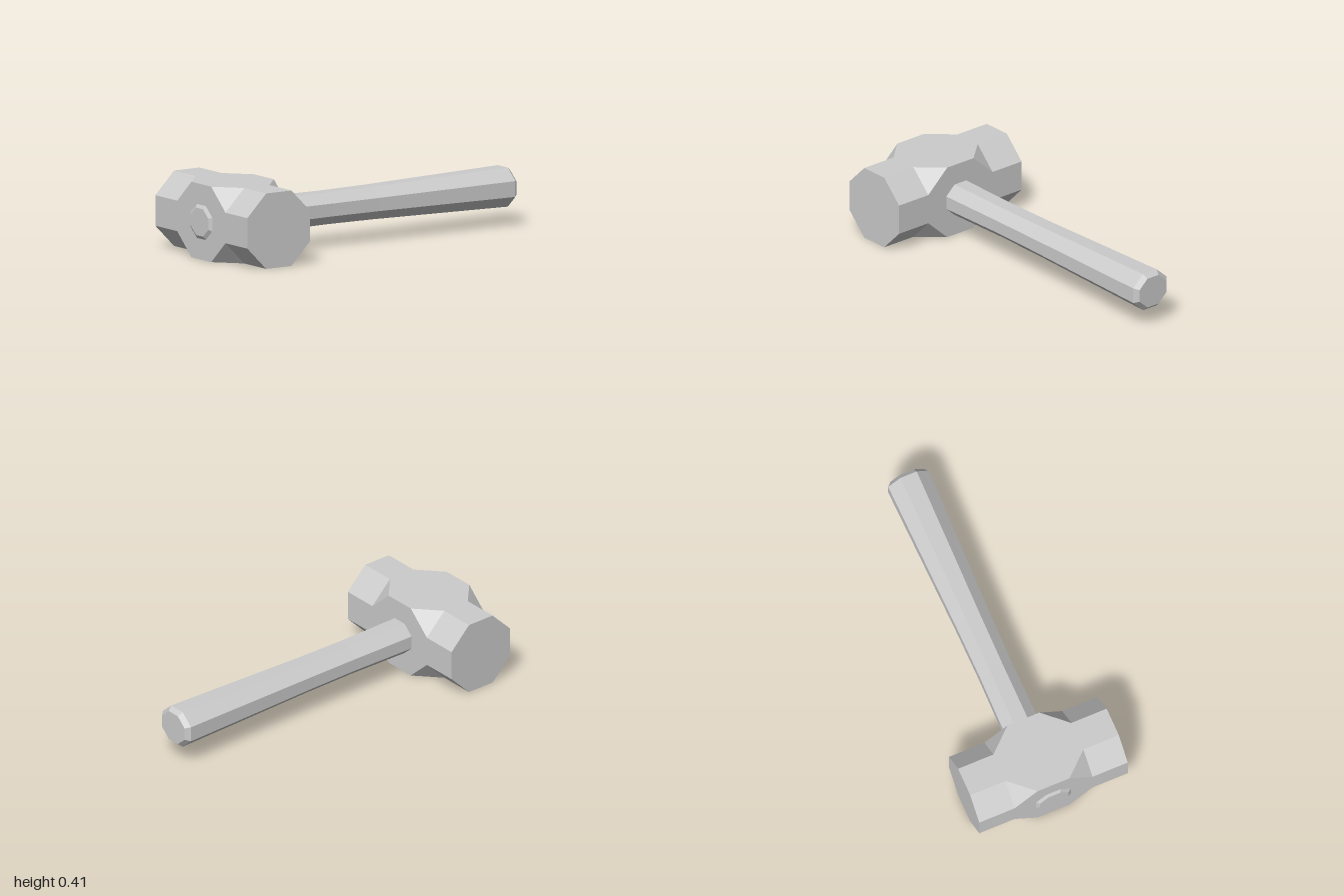
import * as THREE from 'three';

const material = new THREE.MeshStandardMaterial({ color: 0xcccccc, flatShading: true });

// Counter-clockwise rectangle with its corners cut off by cu and cv
function octagon(u, v, cu, cv) {
  return [
    [u, cv - v], [u, v - cv], [u - cu, v], [cu - u, v],
    [-u, v - cv], [-u, cv - v], [cu - u, -v], [u - cu, -v],
  ];
}

// Skin a list of rings (arrays of Vector3) and close both ends
function loft(rings) {
  const positions = [];
  const tri = (a, b, c) => {
    const area = b.clone().sub(a).cross(c.clone().sub(a)).length();
    if (area > 1e-8) for (const p of [a, b, c]) positions.push(p.x, p.y, p.z);
  };
  const n = rings[0].length;
  for (let r = 0; r < rings.length - 1; r++) {
    const a = rings[r], b = rings[r + 1];
    for (let i = 0; i < n; i++) {
      const j = (i + 1) % n;
      tri(a[i], a[j], b[j]);
      tri(a[i], b[j], b[i]);
    }
  }
  const first = rings[0], last = rings[rings.length - 1];
  for (let i = 1; i < n - 1; i++) {
    tri(first[0], first[i + 1], first[i]);
    tri(last[0], last[i], last[i + 1]);
  }
  const geometry = new THREE.BufferGeometry();
  geometry.setAttribute('position', new THREE.Float32BufferAttribute(positions, 3));
  geometry.computeVertexNormals();
  return geometry;
}

export function createModel() {
  const group = new THREE.Group();
  const midY = 0.205;

  // Head: octagonal striking ends swelling to a square middle, along z
  const headSections = [
    [-0.433, 0.122], [-0.227, 0.122], [-0.093, 0],
    [0.093, 0], [0.227, 0.122], [0.433, 0.122],
  ];
  const head = new THREE.Mesh(loft(headSections.map(([z, cut]) =>
    octagon(0.204, 0.205, cut, cut).map(([x, y]) => new THREE.Vector3(x, y, z)))), material);
  head.name = 'hammerHead';
  head.position.set(-0.784, midY, 0);
  group.add(head);

  // Handle: octagonal bar along x, slightly waisted, with bevelled ends
  const handleSections = [
    [-1, 0.7], [-0.988, 0.87], [-0.58, 0.845], [-0.2, 0.81],
    [0.1, 0.835], [0.975, 1], [1, 0.8],
  ];
  const handle = new THREE.Mesh(loft(handleSections.map(([x, s]) =>
    octagon(0.106 * s, 0.118 * s, 0.063 * s, 0.07 * s)
      .map(([y, z]) => new THREE.Vector3(x, y, z)))), material);
  handle.name = 'handle';
  handle.position.y = midY;
  group.add(handle);

  return group;
}
